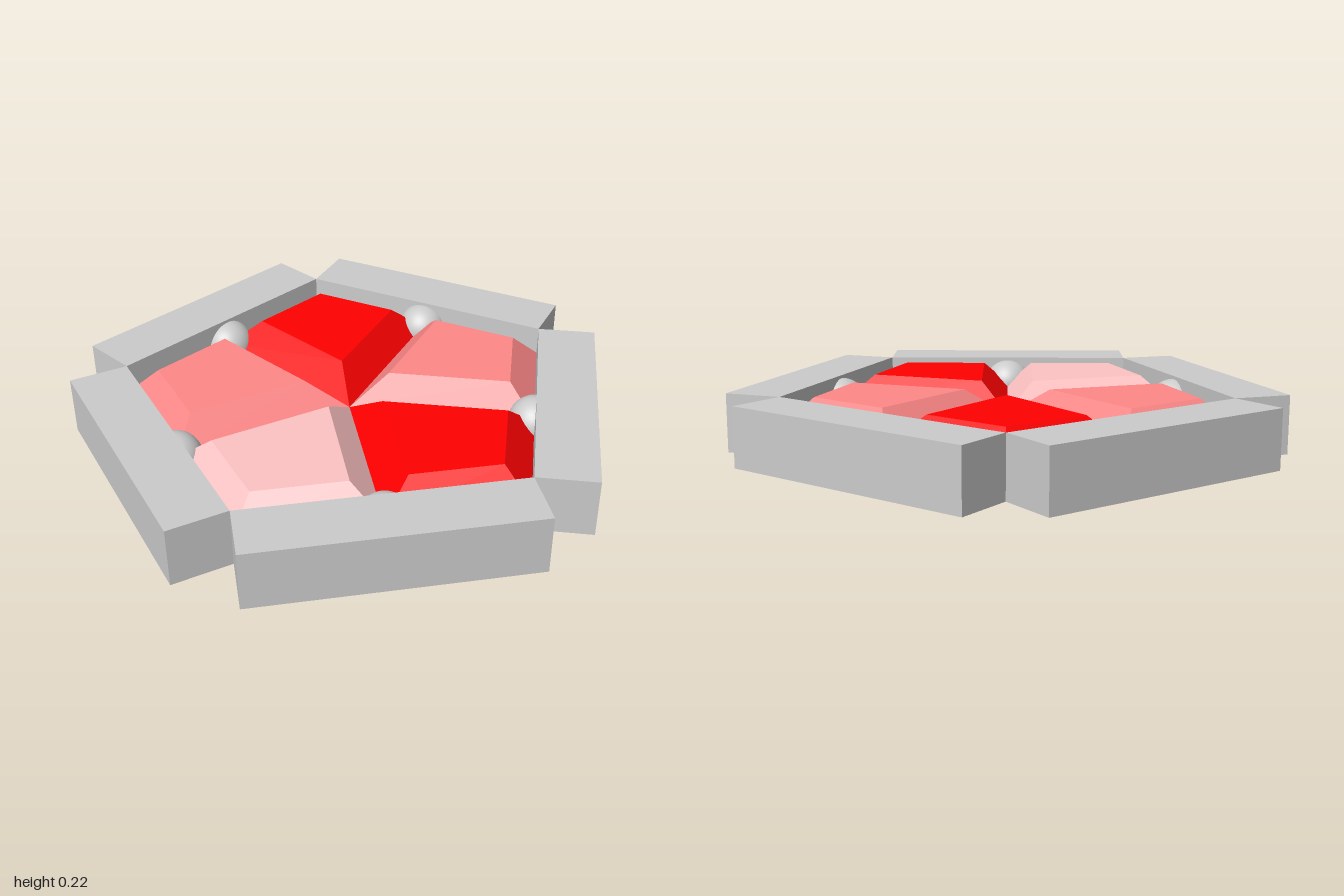
import * as THREE from 'three';

const R = 0.835;                          // pentagon corner radius
const A = R * Math.cos(Math.PI / 5);      // distance from centre to a side
const SIDE = 2 * R * Math.sin(Math.PI / 5);
const WALL = 0.215;                       // wall thickness and height
const STEP = Math.PI * 2 / 5;

// Kite outline (centre, side middle, corner, side middle), moved inwards by d
function kite(d, y) {
  const c = Math.cos(Math.PI / 5), s = Math.sin(Math.PI / 5);
  const x = (A - d) * c + d * s;
  const z = (A - d) * s - d * c;
  return [[d / s, y, 0], [x, y, z], [R - d / c, y, 0], [x, y, -z]];
}

// Gem with a wide girdle and bevels to a smaller flat face above and below
function gemGeometry(inset, height) {
  const rings = [kite(inset, -height), kite(0, 0), kite(inset, height)];
  const index = [0, 2, 1, 0, 3, 2, 8, 9, 10, 8, 10, 11];
  for (let r = 0; r < 2; r++) {
    for (let i = 0; i < 4; i++) {
      const a = r * 4 + i, b = r * 4 + (i + 1) % 4;
      index.push(a, b, b + 4, a, b + 4, a + 4);
    }
  }
  const indexed = new THREE.BufferGeometry();
  indexed.setAttribute('position', new THREE.Float32BufferAttribute(rings.flat(2), 3));
  indexed.setIndex(index);
  const geometry = indexed.toNonIndexed();
  geometry.computeVertexNormals();
  return geometry;
}

export function createModel() {
  const model = new THREE.Group();
  model.name = 'pentagonGemTray';
  const grey = new THREE.MeshStandardMaterial({ color: 0xcccccc });
  const [salmon, red, pale] = [0xff8888, 0xff0000, 0xffc4c4].map(
    color => new THREE.MeshStandardMaterial({ color }));
  const gemColors = [salmon, red, salmon, pale, red];

  const gem = gemGeometry(0.097, 0.1);
  const wall = new THREE.BoxGeometry(WALL, WALL, SIDE);
  const ball = new THREE.SphereGeometry(0.096, 32, 20);

  const add = (parent, name, geometry, material, x = 0) => {
    const mesh = new THREE.Mesh(geometry, material);
    mesh.name = name;
    mesh.position.x = x;
    parent.add(mesh);
  };

  for (let i = 0; i < 5; i++) {
    // Gem pointing to a corner
    const corner = new THREE.Group();
    corner.name = 'gemSector' + (i + 1);
    corner.rotation.y = i * STEP;
    add(corner, 'gem', gem, gemColors[i]);

    // Wall along the next side, with a ball at its middle
    const side = new THREE.Group();
    side.name = 'side' + (i + 1);
    side.rotation.y = (i + 0.5) * STEP;
    add(side, 'wall', wall, grey, A + WALL / 2);
    add(side, 'ball', ball, grey, A);

    model.add(corner, side);
  }

  model.position.set(-0.06, WALL / 2, 0);
  const root = new THREE.Group();
  root.add(model);
  return root;
}
